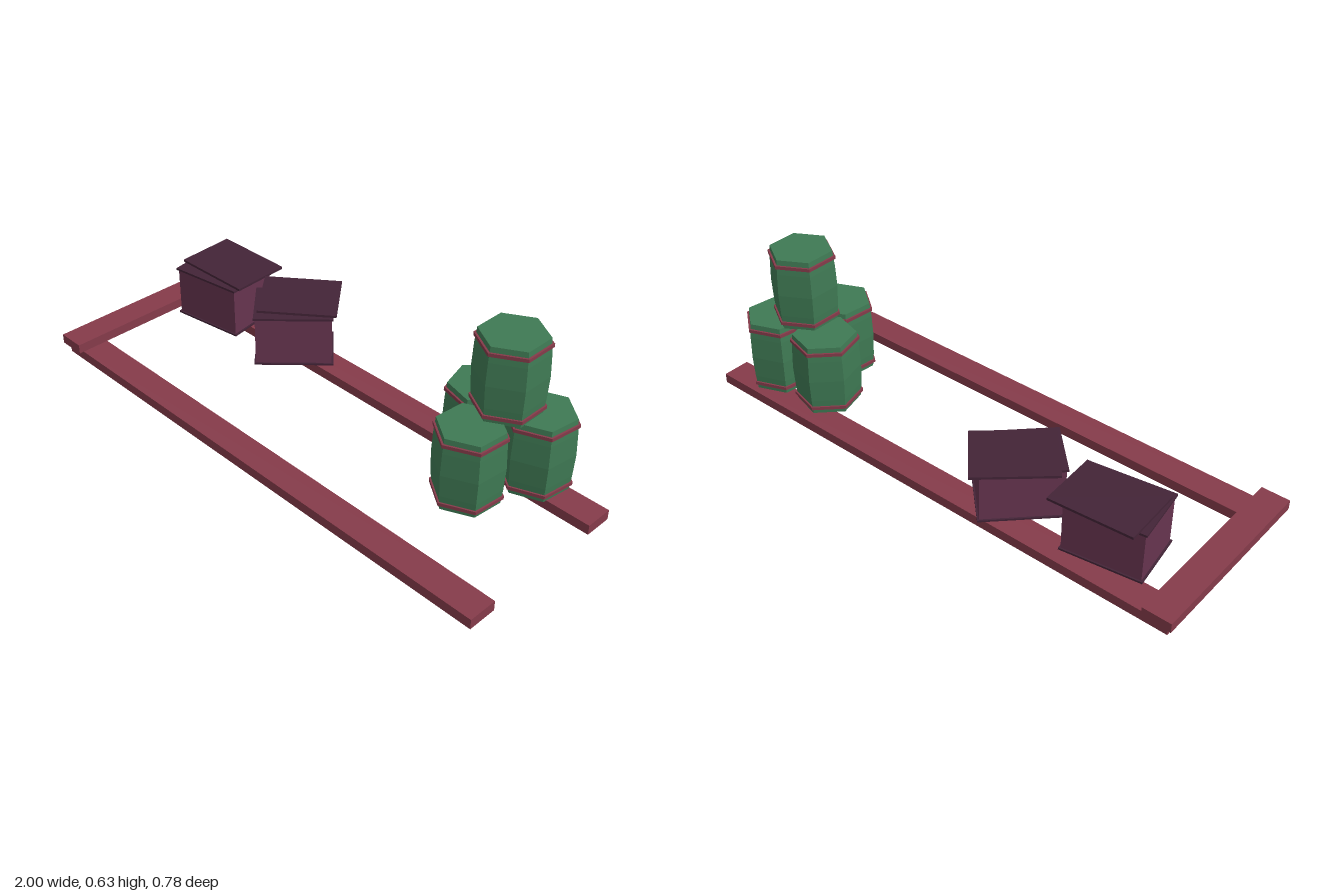
import * as THREE from 'three';

const mat = (name, color) => {
  const m = new THREE.MeshStandardMaterial({ color });
  m.name = name;
  return m;
};

export function createModel() {
  const timber = mat('red timber', 0x853b4a);
  const green = mat('barrel green', 0x3f7a54);
  const plum = mat('crate plum', 0x66344f);
  const dark = mat('dark plum trim', 0x432437);

  const model = new THREE.Group();
  model.name = 'storageArea';

  const add = (parent, name, geometry, material, x, y, z) => {
    const mesh = new THREE.Mesh(geometry, material);
    mesh.name = name;
    mesh.position.set(x, y, z);
    parent.add(mesh);
    return mesh;
  };
  const box = (parent, name, material, w, h, d, x, y, z) =>
    add(parent, name, new THREE.BoxGeometry(w, h, d), material, x, y, z);
  const faceted = (geometry) => {
    const flat = geometry.toNonIndexed();
    flat.computeVertexNormals();
    return flat;
  };

  // Ground frame: two long rails with a beam laid across one end
  box(model, 'backRail', timber, 1.98, 0.037, 0.105, 0.01, 0.0185, -0.247);
  box(model, 'frontRail', timber, 1.98, 0.037, 0.107, 0.01, 0.0185, 0.319);
  box(model, 'crossBeam', timber, 0.105, 0.036, 0.707, -0.9475, 0.055, 0.0365);

  // Six-sided barrels with bulging staves and two hoops each
  const height = 0.275;
  const profile = [new THREE.Vector2(0, 0)];
  for (const t of [0, 0.2, 0.5, 0.8, 1]) {
    profile.push(new THREE.Vector2(0.112 + 0.009 * Math.sin(Math.PI * t), height * t));
  }
  profile.push(new THREE.Vector2(0, height));
  const staves = faceted(new THREE.LatheGeometry(profile, 6));
  const hoop = faceted(new THREE.CylinderGeometry(0.1215, 0.1215, 0.012, 6));

  // turn is the angle of one corner, measured from +x towards +z
  const barrel = (name, x, y, z, turn) => {
    const g = new THREE.Group();
    g.name = name;
    g.position.set(x, y, z);
    g.rotation.y = THREE.MathUtils.degToRad(90 - turn);
    add(g, 'staves', staves, green, 0, 0, 0);
    add(g, 'lowerHoop', hoop, timber, 0, 0.024, 0);
    add(g, 'upperHoop', hoop, timber, 0, 0.25, 0);
    model.add(g);
  };
  barrel('frontBarrel', 0.668, 0.083, 0.01, 95.5);
  barrel('leftBarrel', 0.773, 0.083, -0.204, 38);
  barrel('rightBarrel', 0.55, 0.083, -0.185, 15);
  barrel('topBarrel', 0.683, 0.355, -0.141, 90);

  // Crates with thin edge plates and a loose, slightly tilted lid
  const crate = (name, x, z, turn, lid) => {
    const rad = THREE.MathUtils.degToRad;
    const g = new THREE.Group();
    g.name = name;
    const body = new THREE.Group();
    body.name = 'crateBody';
    body.position.set(x, 0, z);
    body.rotation.y = rad(turn);
    box(body, 'sides', plum, 0.276, 0.184, 0.206, 0, 0.175, 0);
    box(body, 'basePlate', dark, 0.288, 0.007, 0.218, 0, 0.0805, 0);
    box(body, 'topPlate', dark, 0.288, 0.008, 0.218, 0, 0.27, 0);
    g.add(body);
    const top = box(g, 'lid', dark, lid.w, 0.009, lid.d, lid.x, 0.285, lid.z);
    top.rotation.set(0, rad(lid.turn), rad(-1.5), 'ZYX');
    model.add(g);
  };
  crate('outerCrate', -0.687, -0.155, 8.5, { x: -0.672, z: -0.187, turn: 3, w: 0.304, d: 0.226 });
  crate('innerCrate', -0.315, -0.173, 45, { x: -0.321, z: -0.208, turn: 40.5, w: 0.288, d: 0.238 });

  return model;
}
